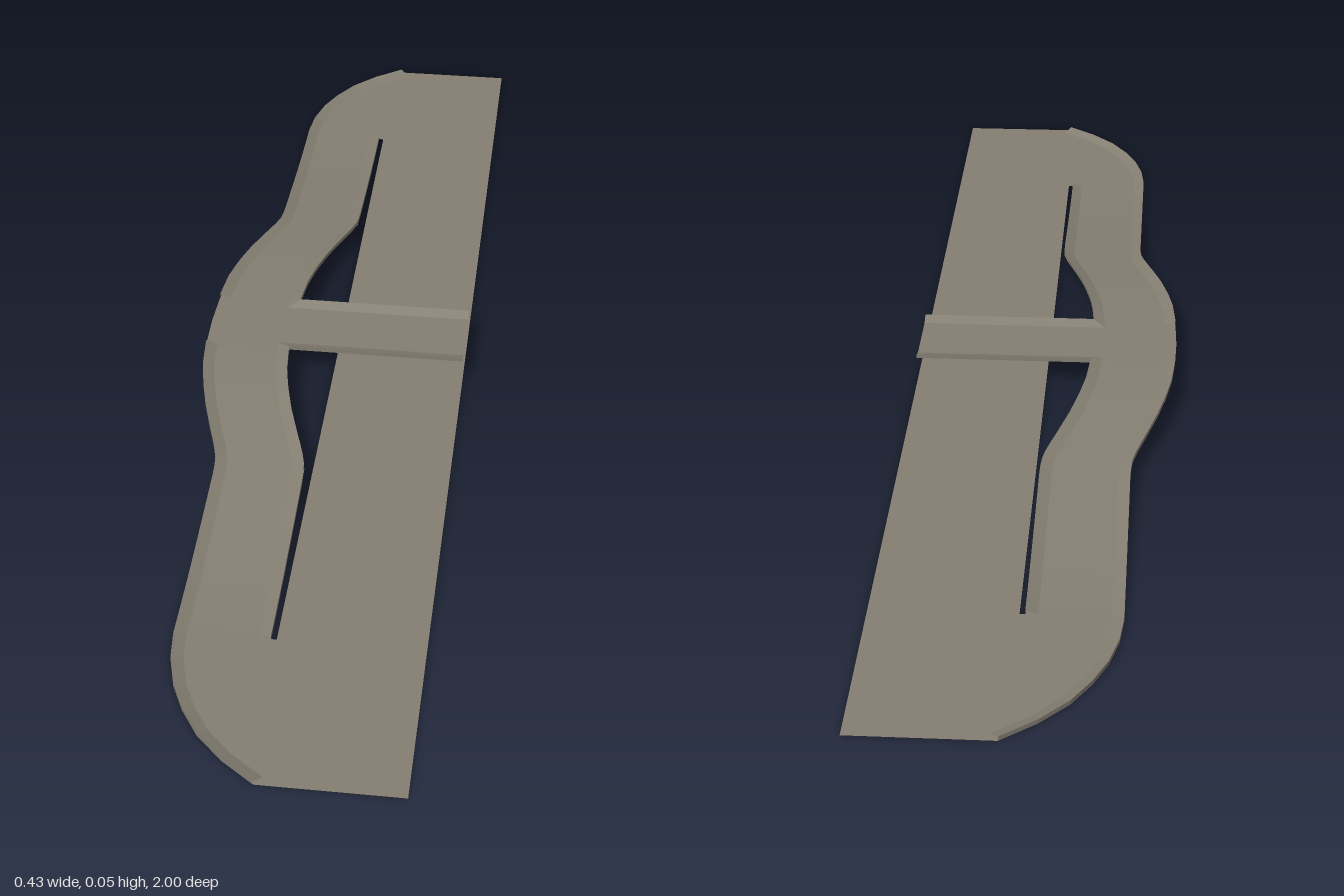
import * as THREE from 'three';

const HALF = 0.213;      // half of the overall width
const SLOT = 0.72;       // where the ramp leaves the ground
const GATE = 0.07;       // half width of the cross bridge
const TOP = 0.043;       // height of the raised deck
const KERB_H = 0.007, KERB_W = 0.018;

const stone = new THREE.MeshStandardMaterial({ color: 0x857f72, side: THREE.DoubleSide });
stone.name = 'warm grey concrete';

// Sideways shift of the ramp against |z|
const SHIFT = [[0, 0], [0.07, 0.002], [0.13, 0.007], [0.18, 0.016], [0.23, 0.028], [0.28, 0.043],
  [0.33, 0.059], [0.36, 0.066], [0.39, 0.067], [1, 0.067]];
// Rounded end of the ground
const END = [[-0.146, 0.73], [-0.141, 0.78], [-0.128, 0.83], [-0.108, 0.875], [-0.08, 0.92], [-0.04, 0.962], [0.009, 1]];

function shift(z) {
  const a = Math.abs(z);
  const i = Math.max(1, SHIFT.findIndex((p) => p[0] >= a));
  const [p, q] = [SHIFT[i - 1], SHIFT[i]];
  return p[1] + (q[1] - p[1]) * (a - p[0]) / (q[0] - p[0]);
}
const outerX = (z) => -HALF + shift(z);
const innerX = (z) => -0.075 + shift(z);
const deckY = (z) => TOP * (1 - THREE.MathUtils.smoothstep(Math.abs(z), GATE, SLOT));

// Skin a list of equally long cross-sections
function loft(rows, name) {
  const pos = [], n = rows[0].length;
  for (let i = 0; i + 1 < rows.length; i++) {
    for (let j = 0; j + 1 < n; j++) {
      const a = rows[i][j], b = rows[i + 1][j], c = rows[i + 1][j + 1], d = rows[i][j + 1];
      pos.push(...a, ...b, ...c, ...a, ...c, ...d);
    }
  }
  const g = new THREE.BufferGeometry();
  g.setAttribute('position', new THREE.Float32BufferAttribute(pos, 3));
  g.computeVertexNormals();
  const mesh = new THREE.Mesh(g, stone);
  mesh.name = name;
  return mesh;
}

// Wedge kerb along a plan path; the sloping face falls towards the given side
function kerb(path, side, name) {
  const pts = path.map(([x, z]) => new THREE.Vector2(x, z));
  const rows = pts.map((p, i) => {
    const normal = (a, b) => {
      const d = b.clone().sub(a).normalize();
      return new THREE.Vector2(-d.y, d.x).multiplyScalar(side);
    };
    const n1 = normal(pts[Math.max(0, i - 1)], pts[Math.max(1, i)]);
    const n2 = i + 1 < pts.length ? normal(p, pts[i + 1]) : n1;
    const m = n1.clone().add(n2);
    m.multiplyScalar(2 * KERB_W / m.lengthSq());
    const y = deckY(p.y);
    const fx = p.x + m.x, fz = THREE.MathUtils.clamp(p.y + m.y, -1, 1);
    return [[p.x, y, p.y], [p.x, y + KERB_H, p.y], [fx, deckY(fz) + 0.0003, fz]];
  });
  return loft(rows, name);
}

export function createModel() {
  const model = new THREE.Group();
  model.name = 'rampedWalkway';

  // Flat ground with rounded ends and a notch under the ramp (shape y becomes z)
  const outline = [[HALF, -1], [HALF, 1], ...[...END].reverse(), [-0.146, SLOT], [0, SLOT],
    [0, -SLOT], [-0.146, -SLOT], ...END.map(([x, z]) => [x, -z])];
  const shape = new THREE.Shape(outline.map(([x, z]) => new THREE.Vector2(x, -z)));
  const ground = new THREE.Mesh(new THREE.ShapeGeometry(shape).rotateX(-Math.PI / 2), stone);
  ground.name = 'ground';
  model.add(ground);

  // Arched ramp
  const rows = [], steps = 72;
  for (let i = 0; i <= steps; i++) {
    const z = -SLOT + 2 * SLOT * i / steps;
    rows.push([[outerX(z), deckY(z), z], [innerX(z), deckY(z), z]]);
  }
  model.add(loft(rows, 'ramp'));

  // Level bridge across the ground
  model.add(loft([-GATE, GATE].map((z) => [[-0.075, TOP, z], [HALF, TOP, z]]), 'bridge'));

  // Kerbs, mirrored front to back
  const run = [];
  for (let i = 0; i <= 32; i++) run.push(SLOT + (GATE - SLOT) * i / 32);
  for (const s of [1, -1]) {
    const label = s > 0 ? 'front' : 'back';
    const outer = [...[...END].reverse(), ...run.map((z) => [outerX(z), z])];
    const inner = [...run.map((z) => [innerX(z), z]), [HALF, GATE]];
    const flip = (path) => path.map(([x, z]) => [x, s * z]);
    model.add(kerb(flip(outer), s, label + 'OuterKerb'));
    model.add(kerb(flip(inner), -s, label + 'InnerKerb'));
  }
  return model;
}
